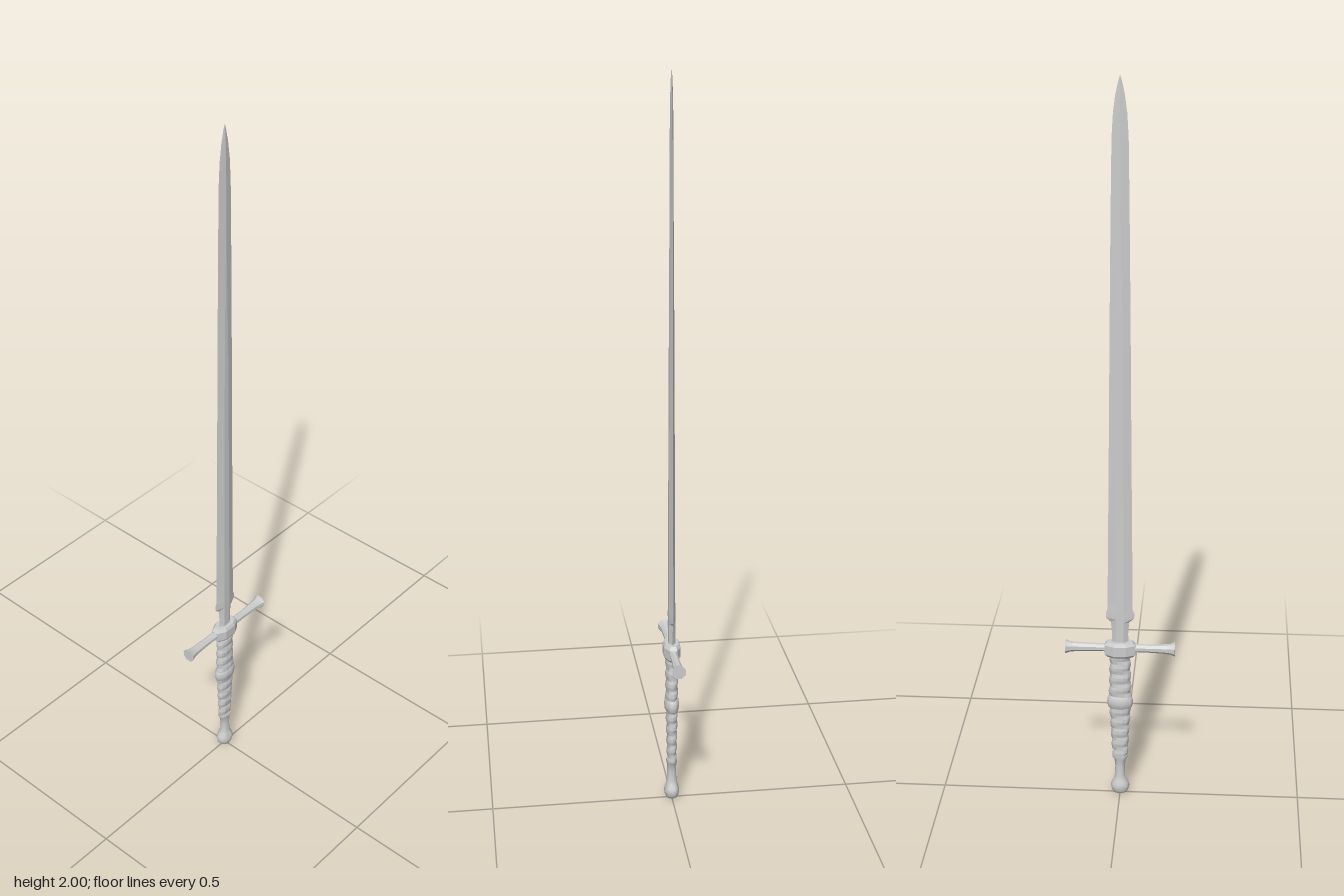
import * as THREE from 'three';
import { toCreasedNormals } from 'three/addons/utils/BufferGeometryUtils.js';

const material = new THREE.MeshStandardMaterial({ color: 0xcccccc });

// Skin a stack of equal-length rings of [x, y, z], counterclockwise from above, with closed ends.
function loft(rings, crease) {
  const n = rings[0].length, pos = [], idx = [];
  rings.forEach(r => r.forEach(p => pos.push(...p)));
  for (let i = 0; i < rings.length - 1; i++) {
    for (let j = 0; j < n; j++) {
      const a = i * n + j, b = i * n + (j + 1) % n;
      idx.push(a, b, b + n, a, b + n, a + n);
    }
  }
  const top = (rings.length - 1) * n;
  for (let j = 1; j < n - 1; j++) {
    idx.push(0, j + 1, j, top, top + j, top + j + 1);
  }
  const g = new THREE.BufferGeometry();
  g.setAttribute('position', new THREE.Float32BufferAttribute(pos, 3));
  g.setIndex(idx);
  return toCreasedNormals(g, crease);
}

// Elliptical ring with half-widths rx and rz; wave varies the radius with angle.
function ellipse(y, rx, rz, n, turn = 0, wave = () => 0) {
  return Array.from({ length: n }, (_, j) => {
    const a = (j / n) * Math.PI * 2 + turn, w = wave(a);
    return [Math.cos(a) * (rx + w), y, -Math.sin(a) * (rz + w)];
  });
}

function part(name, geometry) {
  const mesh = new THREE.Mesh(geometry, material);
  mesh.name = name;
  return mesh;
}

// Blade rows: height, half-width, half-thickness, share of width taken by the flat
function makeBlade() {
  const rows = [
    [0.455, 0.024, 0.009, 0.45], [0.50, 0.022, 0.009, 0.45], [0.535, 0.025, 0.009, 0.4],
    [0.547, 0.038, 0.009, 0.28], [0.56, 0.039, 0.009, 0.28], [0.574, 0.034, 0.009, 0.3],
    [0.60, 0.034, 0.0085, 0.3], [1.00, 0.030, 0.0075, 0.28], [1.40, 0.0265, 0.006, 0.24],
    [1.68, 0.0235, 0.005, 0.05], [1.85, 0.021, 0.0045, 0.03], [1.91, 0.0175, 0.004, 0.03],
    [1.955, 0.0115, 0.003, 0.03], [1.985, 0.005, 0.0018, 0.03], [2.0, 0.0003, 0.0003, 0.03],
  ];
  return loft(rows.map(([y, w, t, f]) => [
    [w, y, 0], [w * f, y, -t], [-w * f, y, -t], [-w, y, 0], [-w * f, y, t], [w * f, y, t],
  ]), 0.2);
}

// Grip section wound with a helical cord
function makeGrip(y0, y1, rx0, rx1, rz0, rz1) {
  const rings = [], steps = 64, pitch = 0.034;
  for (let i = 0; i <= steps; i++) {
    const t = i / steps, y = THREE.MathUtils.lerp(y0, y1, t);
    const cord = a => {
      const phase = ((y / pitch - a / (Math.PI * 2)) % 1 + 1) % 1;
      return 0.0035 * Math.sin(Math.PI * phase) - 0.0025;
    };
    rings.push(ellipse(y, THREE.MathUtils.lerp(rx0, rx1, t), THREE.MathUtils.lerp(rz0, rz1, t), 32, 0, cord));
  }
  return loft(rings, 0.9);
}

// Eight-sided guard arm running along +x from the centre, flared at its end
function makeArm() {
  const rows = [[0.02, 0.014, 0.013], [0.045, 0.011, 0.011], [0.08, 0.0115, 0.011],
    [0.12, 0.013, 0.0125], [0.138, 0.015, 0.015], [0.15, 0.020, 0.0195]];
  const g = loft(rows.map(([d, h, z]) => ellipse(d, h, z, 8, Math.PI / 8)), 0.5);
  return g.rotateZ(-Math.PI / 2).translate(0, 0.457, 0);
}

export function createModel() {
  const group = new THREE.Group();
  group.name = 'sword';
  group.add(part('blade', makeBlade()));

  // Crossguard: faceted centre block and two mirrored arms
  const guard = new THREE.Group();
  guard.name = 'crossguard';
  const block = [[0.432, 0.8], [0.44, 1], [0.468, 1], [0.477, 0.8]].map(([y, s]) =>
    [[0.042, -0.010], [0.018, -0.0225], [-0.018, -0.0225], [-0.042, -0.010],
      [-0.042, 0.010], [-0.018, 0.0225], [0.018, 0.0225], [0.042, 0.010]]
      .map(([x, z]) => [x * s, y, z * s]));
  guard.add(part('guardBlock', loft(block, 0.4)));
  const arm = makeArm();
  guard.add(part('leftArm', arm));
  guard.add(part('rightArm', arm.clone().rotateY(Math.PI)));
  group.add(guard);

  // Two wound grip sections separated by a collar
  group.add(part('lowerGrip', makeGrip(0.12, 0.285, 0.021, 0.030, 0.013, 0.016)));
  group.add(part('upperGrip', makeGrip(0.30, 0.437, 0.031, 0.028, 0.0165, 0.0165)));
  const collar = [[0.272, 0.030, 0.016], [0.278, 0.034, 0.019], [0.291, 0.036, 0.0205],
    [0.304, 0.034, 0.019], [0.310, 0.030, 0.016]];
  group.add(part('gripCollar', loft(collar.map(([y, x, z]) => ellipse(y, x, z, 32)), 0.7)));

  // Pommel: slim neck swelling into a rounded knob
  const pommel = [[0, 0.012, 0.010], [0.004, 0.019, 0.016], [0.012, 0.024, 0.0195],
    [0.024, 0.0265, 0.0215], [0.034, 0.024, 0.0195], [0.044, 0.018, 0.016], [0.056, 0.0145, 0.0135],
    [0.085, 0.0135, 0.0125], [0.108, 0.016, 0.0135], [0.114, 0.021, 0.015], [0.122, 0.021, 0.015]];
  group.add(part('pommel', loft(pommel.map(([y, x, z]) => ellipse(y, x, z, 16)), 0.7)));
  return group;
}
